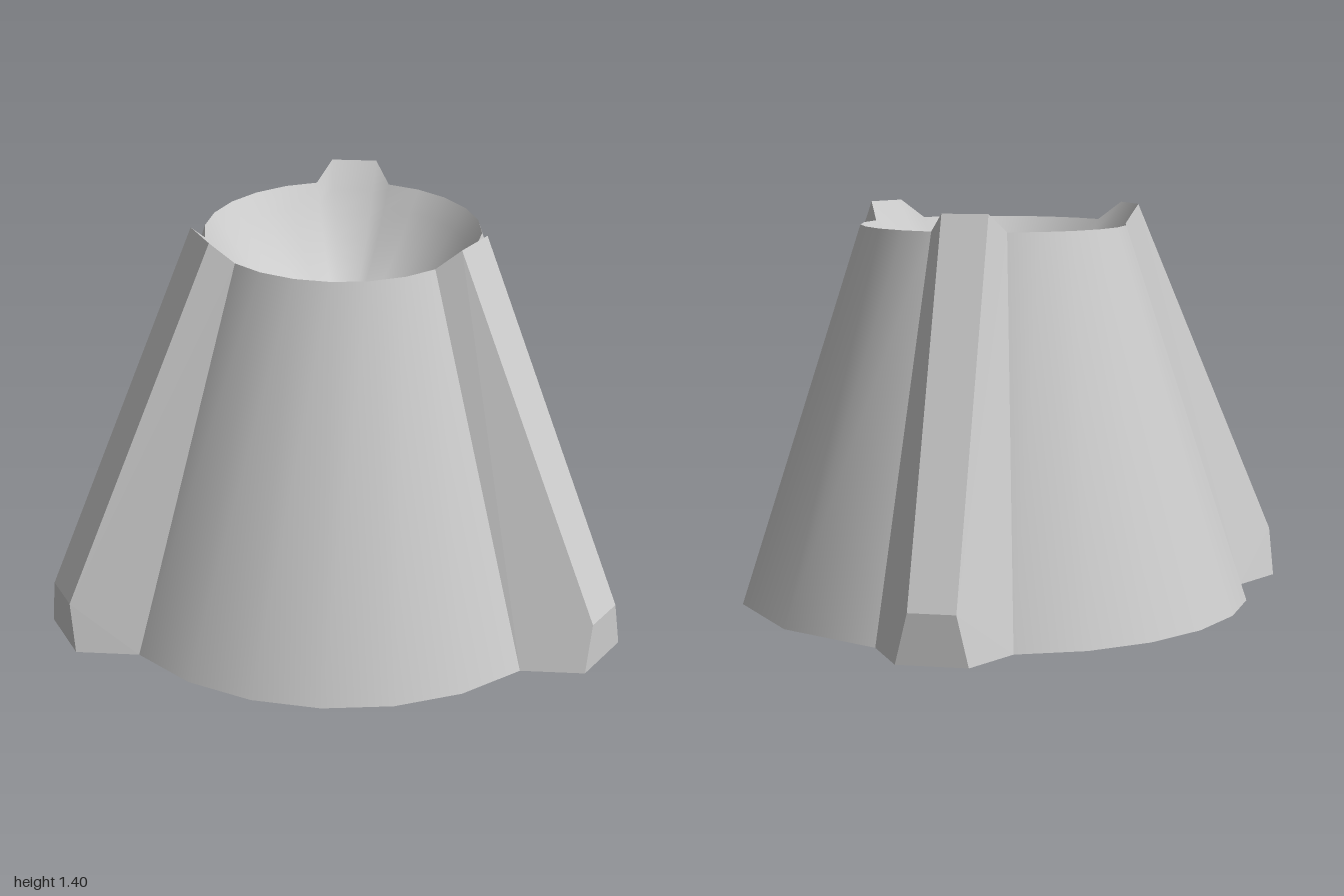
import * as THREE from 'three';
import { mergeVertices } from 'three/addons/utils/BufferGeometryUtils.js';

const CZ = 0.075, R_BASE = 0.92, R_TOP = 0.475, H = 1.335, DEPTH = 0.38;
const rad = THREE.MathUtils.degToRad;

// Point at radius r along direction a (degrees from +z towards +x), offset w sideways.
function polar(a, r, w, y) {
  const s = Math.sin(rad(a)), c = Math.cos(rad(a));
  return new THREE.Vector3(r * s + w * c, y, r * c - w * s + CZ);
}

// Surface through rows of points; each cell is a pair of triangles.
function loft(rows, smooth) {
  const pts = [];
  for (let j = 0; j < rows.length - 1; j++) {
    for (let i = 0; i < rows[j].length - 1; i++) {
      const a = rows[j][i], b = rows[j][i + 1], c = rows[j + 1][i + 1], d = rows[j + 1][i];
      pts.push(a, b, c, a, c, d);
    }
  }
  let g = new THREE.BufferGeometry().setFromPoints(pts);
  if (smooth) g = mergeVertices(g, 1e-5);
  g.computeVertexNormals();
  return g;
}

export function createModel() {
  const group = new THREE.Group();
  const material = new THREE.MeshStandardMaterial({ color: 0xcccccc, side: THREE.DoubleSide });
  const flat = new THREE.MeshStandardMaterial({ color: 0xcccccc, side: THREE.DoubleSide, flatShading: true });
  const add = (name, geometry, mat = material) => {
    const mesh = new THREE.Mesh(geometry, mat);
    mesh.name = name;
    group.add(mesh);
  };

  const even = [-45, -30, -15, 0, 15, 30, 45];
  const coarse = [-45, -30, -5, -5, 20, 20, 45];
  const rim = [], foot = [];

  for (let k = 0; k < 3; k++) {
    // Conical wall between two ribs
    const mid = k * 120, ribAngle = mid + 60;
    const low = (k === 1 ? coarse : even).map((o) => polar(mid + o, R_BASE, 0, 0));
    const high = even.map((o) => polar(mid + o, R_TOP, 0, H));
    // Ends meet the rib flanks exactly
    low[0] = polar(mid - 60, 0.885, 0.23, 0);
    low[6] = polar(ribAngle, 0.885, -0.23, 0);
    high[0] = polar(mid - 60, 0.455, 0.13, H);
    high[6] = polar(ribAngle, 0.455, -0.13, H);
    const wall = loft([low, high], true);
    const pos = wall.attributes.position, n = new THREE.Vector3();
    for (let i = 0; i < pos.count; i++) {
      n.set(pos.getX(i), 0, pos.getZ(i) - CZ).normalize();
      n.y = (R_BASE - R_TOP) / H;
      n.normalize();
      wall.attributes.normal.setXYZ(i, n.x, n.y, n.z);
    }
    add('wall' + (k + 1), wall);

    // Tapered rib: base, chamfered foot, top
    const section = (r1, w1, y1, r2, w2, y2) => [
      polar(ribAngle, r1, -w1, y1), polar(ribAngle, r2, -w2, y2),
      polar(ribAngle, r2, w2, y2), polar(ribAngle, r1, w1, y1),
    ];
    const ribBase = section(0.885, 0.23, 0, 1.075, 0.12, 0);
    const ribFoot = section(0.885, 0.23, 0, 1.075, 0.08, 0.17);
    const ribTop = section(0.455, 0.13, H, 0.525, 0.08, 1.4);
    add('rib' + (k + 1), loft([ribBase, ribFoot, ribTop], false), flat);

    rim.push(...high, ribTop[1], ribTop[2]);
    foot.push(...low, ribBase[1], ribBase[2]);
  }
  rim.push(rim[0]);
  foot.push(foot[0]);

  // Hollow bowl sinking from the rim
  const rows = [];
  for (let j = 0; j <= 10; j++) {
    const t = 1 - j / 10;
    rows.push(rim.map((p) => new THREE.Vector3(
      p.x * t, H - DEPTH * (1 - t * t) + (p.y - H) * t ** 4, CZ + (p.z - CZ) * t)));
  }
  add('bowl', loft(rows, true));

  // Flat underside
  const centre = foot.map(() => new THREE.Vector3(0, 0, CZ));
  add('underside', loft([centre, foot], false));

  return group;
}
